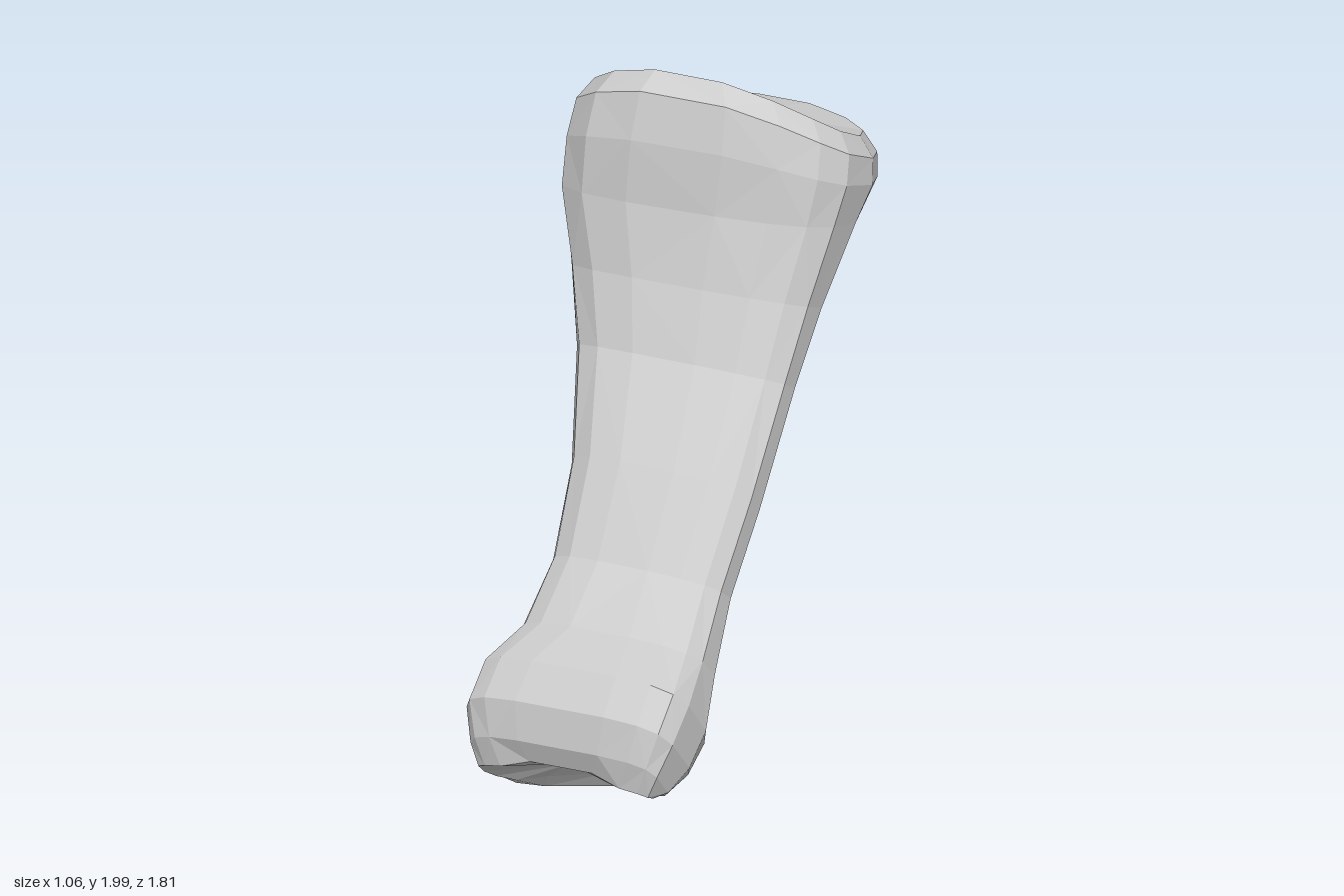
import * as THREE from 'three';

const SIDES = 16;
const WIDEST = 0.42; // depth of the widest line, from front (0) to back (1)

// Cross-sections from the upper joint to the lower one:
// front z, front y, back z, back y, min x, max x,
// front squareness, back squareness, skew of the front, side dip, underside groove
const SECTIONS = [
  [-0.30, 2.00, -0.89, 1.75, -0.51, 0.36, 2.4, 2.1, 0.08, 0.09, 0],
  [-0.23, 1.95, -0.905, 1.69, -0.53, 0.42, 2.7, 2.1, 0.09, 0.09, 0],
  [-0.19, 1.80, -0.90, 1.60, -0.54, 0.43, 2.8, 2.1, 0.09, 0.05, 0],
  [-0.17, 1.60, -0.80, 1.48, -0.54, 0.41, 2.8, 2.0, 0.09, 0, 0],
  [-0.11, 1.38, -0.58, 1.23, -0.46, 0.38, 2.6, 1.8, 0.08, 0, 0],
  [-0.02, 1.17, -0.38, 1.00, -0.37, 0.37, 2.6, 1.75, 0.08, 0, 0],
  [0.20, 0.90, -0.10, 0.64, -0.25, 0.39, 2.6, 1.75, 0.08, 0, 0],
  [0.40, 0.64, 0.10, 0.445, -0.20, 0.40, 2.6, 1.9, 0.06, 0, 0.02],
  [0.60, 0.49, 0.32, 0.26, -0.19, 0.46, 2.9, 2.3, 0, 0, 0.06],
  [0.80, 0.435, 0.50, 0.11, -0.21, 0.53, 3.6, 2.8, 0, 0, 0.09],
  [0.89, 0.33, 0.62, 0.02, -0.21, 0.53, 3.8, 3.2, 0, 0, 0.10],
  [0.91, 0.21, 0.74, -0.005, -0.17, 0.50, 3.8, 3.4, 0, 0, 0.09],
  [0.90, 0.11, 0.80, 0.03, -0.14, 0.47, 3.2, 3.0, 0, 0, 0],
];
const LAST = SECTIONS.length - 1;

const power = (v, e) => Math.sign(v) * Math.pow(Math.abs(v), e);

// One ring: a squared ellipse slanted between its front and back points
function makeRing([fz, fy, bz, by, x0, x1, front, back, skew, dip, groove], index) {
  const ring = [];
  const length = Math.hypot(fz - bz, fy - by);
  for (let j = 0; j < SIDES; j++) {
    const a = ((j + 0.5) / SIDES) * Math.PI * 2 - Math.PI / 2;
    const square = Math.sin(a) > 0 ? front : back;
    const c = power(Math.cos(a), 2 / square);
    const s = power(Math.sin(a), 2 / square);
    const x = (x0 + x1) / 2 + c * (x1 - x0) / 2;
    const under = Math.max(0, -s);
    let t = s > 0 ? WIDEST * (1 - s) + skew * c * s : WIDEST + (1 - WIDEST) * under;
    // groove between the two lower knuckles, the one at +x a little higher
    const valley = Math.exp(-Math.pow((x - 0.165) / 0.12, 2));
    t -= (groove * valley * under) / length;
    const lift = index > 9 && x > 0.165 ? 0.045 * under : 0;
    // bite out of the lower front edge
    const bite = index === LAST ? 0.07 * valley : 0;
    const y = fy + (by - fy) * t - dip * c * c + lift + bite;
    ring.push(new THREE.Vector3(x, y, fz + (bz - fz) * t - bite * 0.4));
  }
  return ring;
}

function makeBoneGeometry() {
  const rings = SECTIONS.map(makeRing);
  const points = [];
  const face = (...corners) => points.push(...corners);

  // Walls between neighbouring rings, with alternating diagonals
  for (let i = 0; i < LAST; i++) {
    for (let j = 0; j < SIDES; j++) {
      const k = (j + 1) % SIDES;
      const a = rings[i][j], b = rings[i][k];
      const c = rings[i + 1][j], d = rings[i + 1][k];
      if ((i + j) % 2) face(a, b, c, b, d, c);
      else face(a, b, d, a, d, c);
    }
  }

  // Hollow upper joint surface and notched lower end
  const cup = new THREE.Vector3(-0.08, 1.80, -0.60);
  const notch = new THREE.Vector3(0.165, 0.135, 0.83);
  for (let j = 0; j < SIDES; j++) {
    const k = (j + 1) % SIDES;
    face(cup, rings[0][k], rings[0][j]);
    face(notch, rings[LAST][j], rings[LAST][k]);
  }

  const geometry = new THREE.BufferGeometry().setFromPoints(points);
  geometry.computeVertexNormals(); // unshared corners give flat facets
  return geometry;
}

export function createModel() {
  const model = new THREE.Group();
  model.name = 'fingerBone';
  const boneGrey = new THREE.MeshStandardMaterial({ color: 0xcccccc });
  boneGrey.name = 'boneGrey';
  const bone = new THREE.Mesh(makeBoneGeometry(), boneGrey);
  bone.name = 'bone';
  model.add(bone);
  return model;
}
